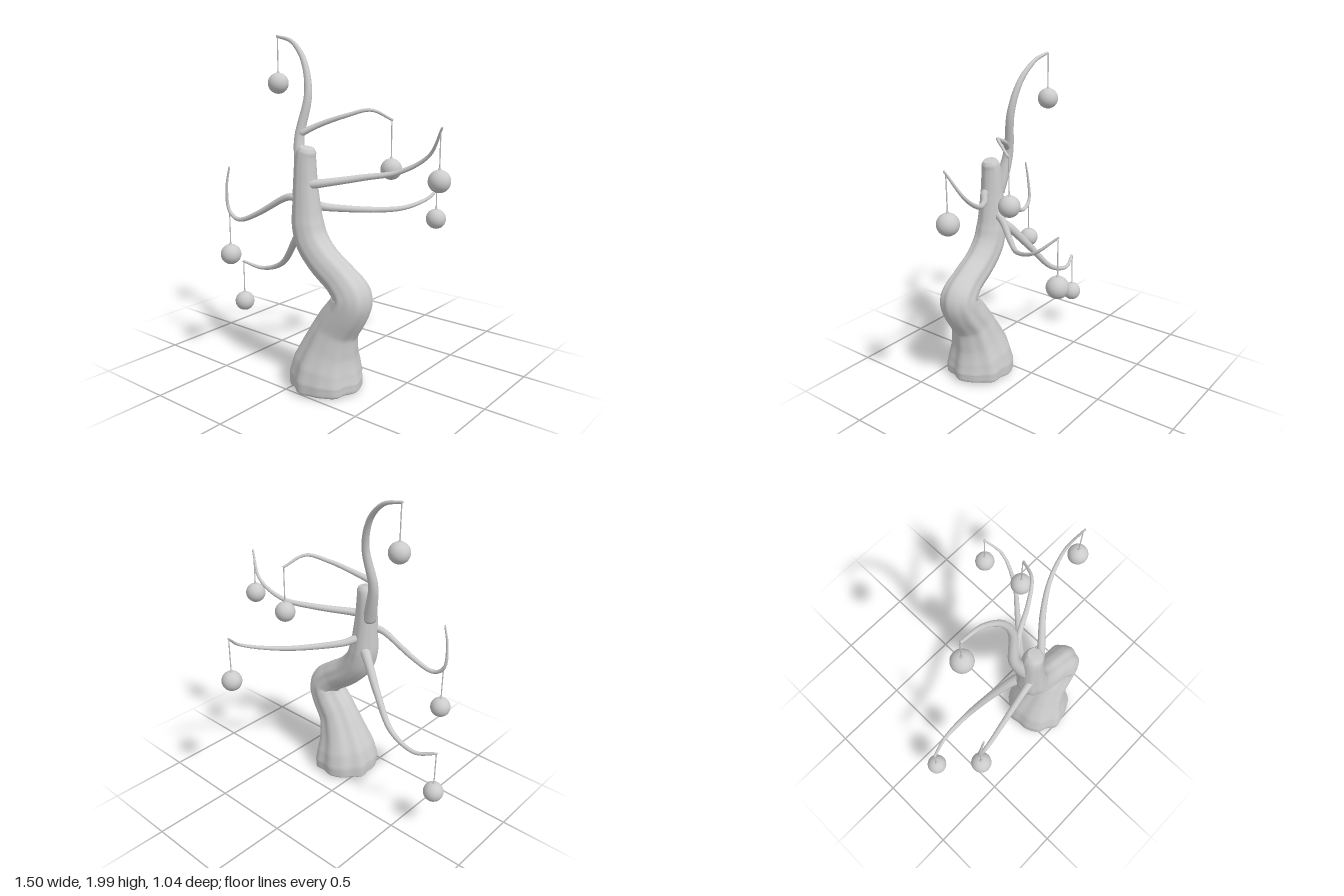
import * as THREE from 'three';

const material = new THREE.MeshStandardMaterial({ color: 0xcccccc, roughness: 0.8 });

// Sweep a tapering round section along points [x, y, z, radius]; closed at both ends.
function sweep(points, steps, sides, ridge = () => 1) {
  const curve = new THREE.CatmullRomCurve3(points.map(p => new THREE.Vector3(p[0], p[1], p[2])), false, 'catmullrom', 0.5);
  const positions = [], index = [];
  const normal = new THREE.Vector3(0, 0, 1);
  for (let i = 0; i <= steps; i++) {
    const t = i / steps, c = curve.getPoint(t), tangent = curve.getTangent(t);
    const k = Math.min(Math.floor(t * (points.length - 1)), points.length - 2);
    const radius = THREE.MathUtils.lerp(points[k][3], points[k + 1][3], t * (points.length - 1) - k);
    normal.addScaledVector(tangent, -normal.dot(tangent)).normalize();
    const side = new THREE.Vector3().crossVectors(tangent, normal);
    for (let j = 0; j < sides; j++) {
      const a = j / sides * Math.PI * 2, r = radius * ridge(t, a);
      const p = c.clone().addScaledVector(normal, Math.cos(a) * r).addScaledVector(side, Math.sin(a) * r);
      positions.push(p.x, p.y, p.z);
      if (i < steps) {
        const q = i * sides + j, n = i * sides + (j + 1) % sides;
        index.push(q, n, q + sides, n, n + sides, q + sides);
      }
    }
  }
  // End caps
  const start = curve.getPoint(0), end = curve.getPoint(1), s = positions.length / 3;
  positions.push(start.x, start.y, start.z, end.x, end.y, end.z);
  for (let j = 0; j < sides; j++) {
    const n = (j + 1) % sides, top = steps * sides;
    index.push(s, n, j, s + 1, top + j, top + n);
  }
  const g = new THREE.BufferGeometry();
  g.setAttribute('position', new THREE.Float32BufferAttribute(positions, 3));
  g.setIndex(index);
  g.computeVertexNormals();
  return g;
}

function add(parent, name, geometry, x = 0, y = 0, z = 0) {
  const mesh = new THREE.Mesh(geometry, material);
  mesh.name = name;
  mesh.position.set(x, y, z);
  parent.add(mesh);
  return mesh;
}

// Branch paths with root and tip radii; hang = [x, string top, ball centre, z]
const BRANCHES = [
  { name: 'crownBranch', r: [0.045, 0.008], hang: [-0.36, 1.99, 1.72, 0.14],
    path: [[-0.04, 1.18, 0.29], [-0.08, 1.31, 0.265], [-0.1, 1.44, 0.245], [-0.07, 1.66, 0.205], [-0.12, 1.84, 0.175], [-0.23, 1.955, 0.15], [-0.36, 1.992, 0.145]] },
  { name: 'upperBackBranch', r: [0.02, 0.007], hang: [0.31, 1.53, 1.245, -0.078],
    path: [[-0.09, 1.45, 0.25], [0.01, 1.505, 0.185], [0.14, 1.555, 0.12], [0.25, 1.585, 0.04], [0.315, 1.525, -0.078]] },
  { name: 'leftUpperBranch', r: [0.03, 0.006], hang: [0.69, 1.5, 1.23, 0.025],
    path: [[0.02, 1.18, 0.33], [0.1, 1.19, 0.28], [0.27, 1.22, 0.135], [0.44, 1.255, 0.03], [0.6, 1.355, -0.012], [0.7, 1.515, 0.028]] },
  { name: 'leftBackBranch', r: [0.027, 0.006], hang: [0.39, 1.16, 0.895, -0.457],
    path: [[0.01, 1.05, 0.25], [0.07, 1.025, 0.155], [0.24, 1.005, -0.03], [0.365, 1.015, -0.175], [0.435, 1.075, -0.34], [0.39, 1.175, -0.46]] },
  { name: 'rightUpperBranch', r: [0.024, 0.005], hang: [-0.524, 0.96, 0.7, 0.41],
    path: [[-0.03, 1.1, 0.34], [-0.12, 1.09, 0.355], [-0.31, 0.98, 0.38], [-0.45, 0.925, 0.4], [-0.53, 0.98, 0.41], [-0.53, 1.12, 0.42], [-0.503, 1.24, 0.42]] },
  { name: 'rightLowerBranch', r: [0.036, 0.008], hang: [-0.69, 0.56, 0.292, 0.15],
    path: [[-0.03, 0.98, 0.265], [-0.1, 0.92, 0.225], [-0.22, 0.775, 0.17], [-0.37, 0.605, 0.12], [-0.55, 0.535, 0.112], [-0.69, 0.565, 0.155]] },
];

export function createModel() {
  const tree = new THREE.Group();
  tree.name = 'twistedTree';

  // Crooked trunk with a flared, ridged foot
  const trunk = [
    [0.145, 0.01, 0.18], [0.145, 0.03, 0.208], [0.145, 0.09, 0.21], [0.155, 0.17, 0.192], [0.18, 0.27, 0.158],
    [0.225, 0.39, 0.128], [0.305, 0.51, 0.118], [0.325, 0.59, 0.112], [0.25, 0.67, 0.097], [0.13, 0.755, 0.095],
    [0.045, 0.85, 0.096], [0.01, 0.95, 0.092], [0, 1.06, 0.08], [-0.006, 1.19, 0.069], [-0.005, 1.31, 0.061],
    [0.005, 1.36, 0.054], [0.01, 1.383, 0.04],
  ].map(([x, y, r]) => [x, y, 0.305, r]);
  const ridge = (t, a) => 1 + (1 - 0.75 * t) * (0.035 * Math.cos(7 * a + 0.6) + 0.02 * Math.cos(11 * a + 2));
  add(tree, 'trunk', sweep(trunk, 96, 72, ridge));

  // Flat bark patch inside the lower bend
  const patch = add(tree, 'barkPatch', new THREE.BoxGeometry(0.03, 0.19, 0.08), 0.17, 0.445, 0.28);
  patch.rotation.z = -0.66;

  // Branches, each with a hanging ball
  for (const { name, r, hang, path } of BRANCHES) {
    const branch = new THREE.Group();
    branch.name = name;
    tree.add(branch);
    const last = path.length - 1;
    const points = path.map((p, i) => [...p, THREE.MathUtils.lerp(r[0], r[1], Math.pow(i / last, 0.8))]);
    add(branch, 'limb', sweep(points, 48, 12));
    const [x, top, y, z] = hang, length = top - y - 0.055;
    add(branch, 'string', new THREE.CylinderGeometry(0.0035, 0.0035, length, 8), x, top - length / 2, z);
    add(branch, 'stringKnot', new THREE.CylinderGeometry(0.006, 0.011, 0.015, 10), x, y + 0.064, z);
    add(branch, 'ball', new THREE.SphereGeometry(0.062, 32, 20), x, y, z);
  }
  return tree;
}
